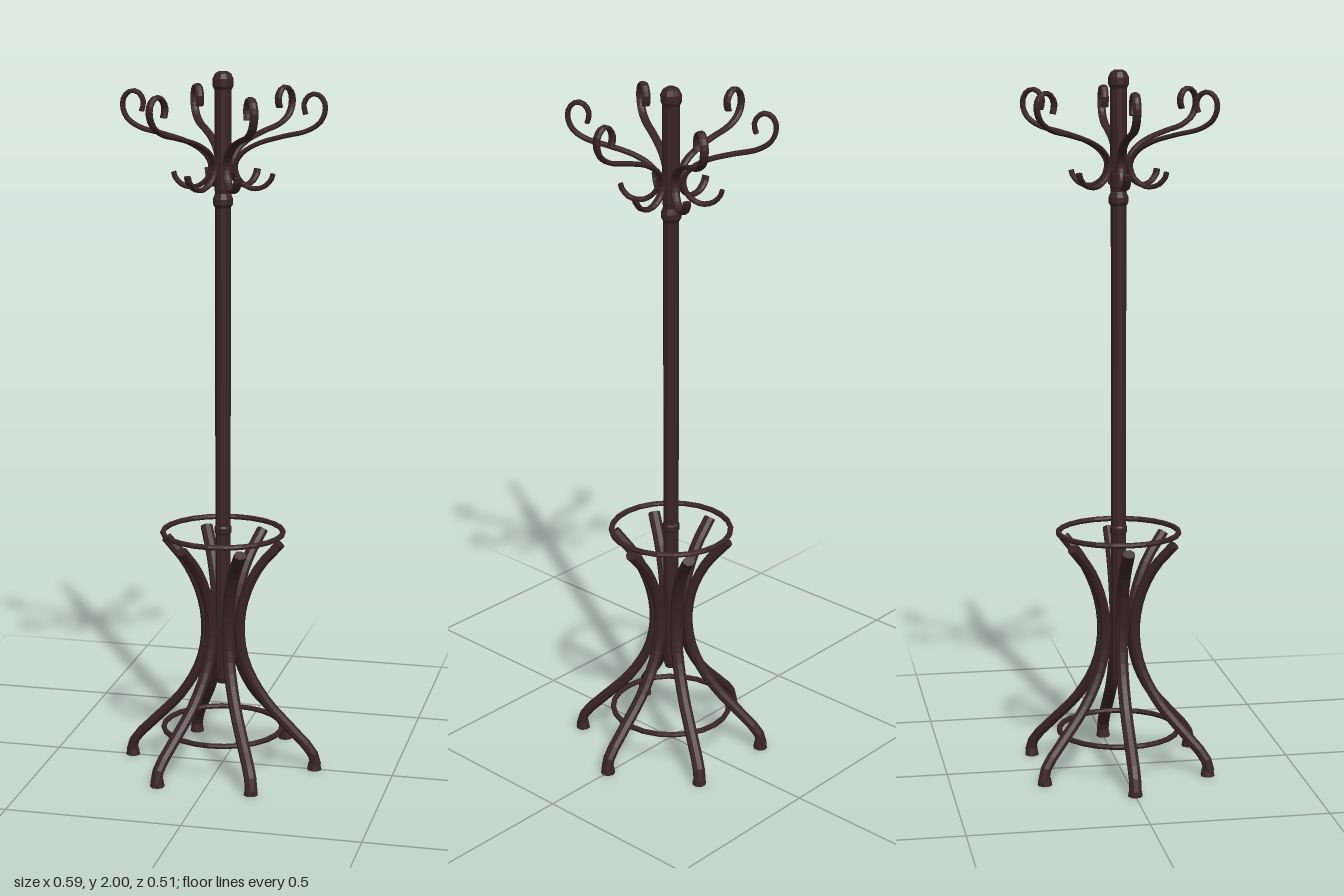
import * as THREE from 'three';

const wood = new THREE.MeshStandardMaterial({ color: 0x3a2424, flatShading: true });
wood.name = 'darkWood';

// Sweeps an elliptical section along a planar (radius, height) path, with capped ends.
function sweep(path, steps, thick, wide, sides = 8) {
  const curve = new THREE.CatmullRomCurve3(path.map(([r, y]) => new THREE.Vector3(r, y, 0)));
  const pos = [], index = [];
  for (let i = 0; i <= steps; i++) {
    const p = curve.getPointAt(i / steps), t = curve.getTangentAt(i / steps);
    for (let j = 0; j < sides; j++) {
      const a = ((j + 0.5) / sides) * Math.PI * 2;
      const n = Math.cos(a) * thick / 2, b = Math.sin(a) * wide / 2;
      pos.push(p.x - t.y * n, p.y + t.x * n, b);
    }
  }
  for (let i = 0; i < steps; i++) {
    for (let j = 0; j < sides; j++) {
      const a = i * sides + j, b = i * sides + (j + 1) % sides;
      index.push(a, b, a + sides, b, b + sides, a + sides);
    }
  }
  const last = steps * sides;
  for (let j = 1; j < sides - 1; j++) {
    index.push(0, j + 1, j, last, last + j, last + j + 1);
  }
  const geo = new THREE.BufferGeometry();
  geo.setAttribute('position', new THREE.Float32BufferAttribute(pos, 3));
  geo.setIndex(index);
  geo.computeVertexNormals();
  return geo;
}

export function createModel() {
  const model = new THREE.Group();
  model.name = 'coatStand';
  const add = (name, geo, parent = model) => {
    const mesh = new THREE.Mesh(geo, wood);
    mesh.name = name;
    parent.add(mesh);
    return mesh;
  };

  // Turned central pole with collars and a rounded knob
  const profile = [
    [0, 0.245], [0.018, 0.245], [0.022, 0.26], [0.022, 0.69], [0.025, 0.695], [0.025, 0.71],
    [0.022, 0.715], [0.022, 1.625], [0.028, 1.635], [0.028, 1.65], [0.022, 1.665],
    [0.024, 1.68], [0.024, 1.95], [0.029, 1.96], [0.029, 1.98], [0.022, 1.994], [0.012, 2], [0, 2],
  ].map(([r, y]) => new THREE.Vector2(r, y));
  add('pole', new THREE.LatheGeometry(profile, 10));

  // Two hoops: umbrella ring and leg brace
  for (const [name, y] of [['upperRing', 0.695], ['lowerRing', 0.11]]) {
    const ring = add(name, new THREE.TorusGeometry(0.172, 0.008, 8, 24));
    ring.rotation.x = Math.PI / 2;
    ring.position.y = y;
  }

  // Shared geometry for the six bentwood legs, feet and double hooks
  const leg = sweep([
    [0.277, 0.012], [0.265, 0.05], [0.205, 0.115], [0.125, 0.2], [0.068, 0.3], [0.049, 0.4],
    [0.062, 0.5], [0.105, 0.595], [0.168, 0.67],
  ], 22, 0.03, 0.036);
  const foot = new THREE.CylinderGeometry(0.017, 0.021, 0.022, 8);
  const hook = sweep([
    [0.232, 1.887], [0.226, 1.912], [0.238, 1.936], [0.259, 1.943], [0.28, 1.928], [0.286, 1.9],
    [0.272, 1.866], [0.235, 1.842], [0.17, 1.826], [0.1, 1.805], [0.055, 1.778], [0.035, 1.745],
    [0.045, 1.705], [0.08, 1.681], [0.115, 1.686], [0.137, 1.708], [0.141, 1.722],
  ], 44, 0.014, 0.024);

  for (let i = 0; i < 6; i++) {
    const arm = new THREE.Group();
    arm.name = 'legAndHook' + (i + 1);
    arm.rotation.y = (i * Math.PI) / 3;
    add('leg', leg, arm);
    add('foot', foot, arm).position.set(0.272, 0.011, 0);
    add('hook', hook, arm);
    model.add(arm);
  }
  return model;
}
